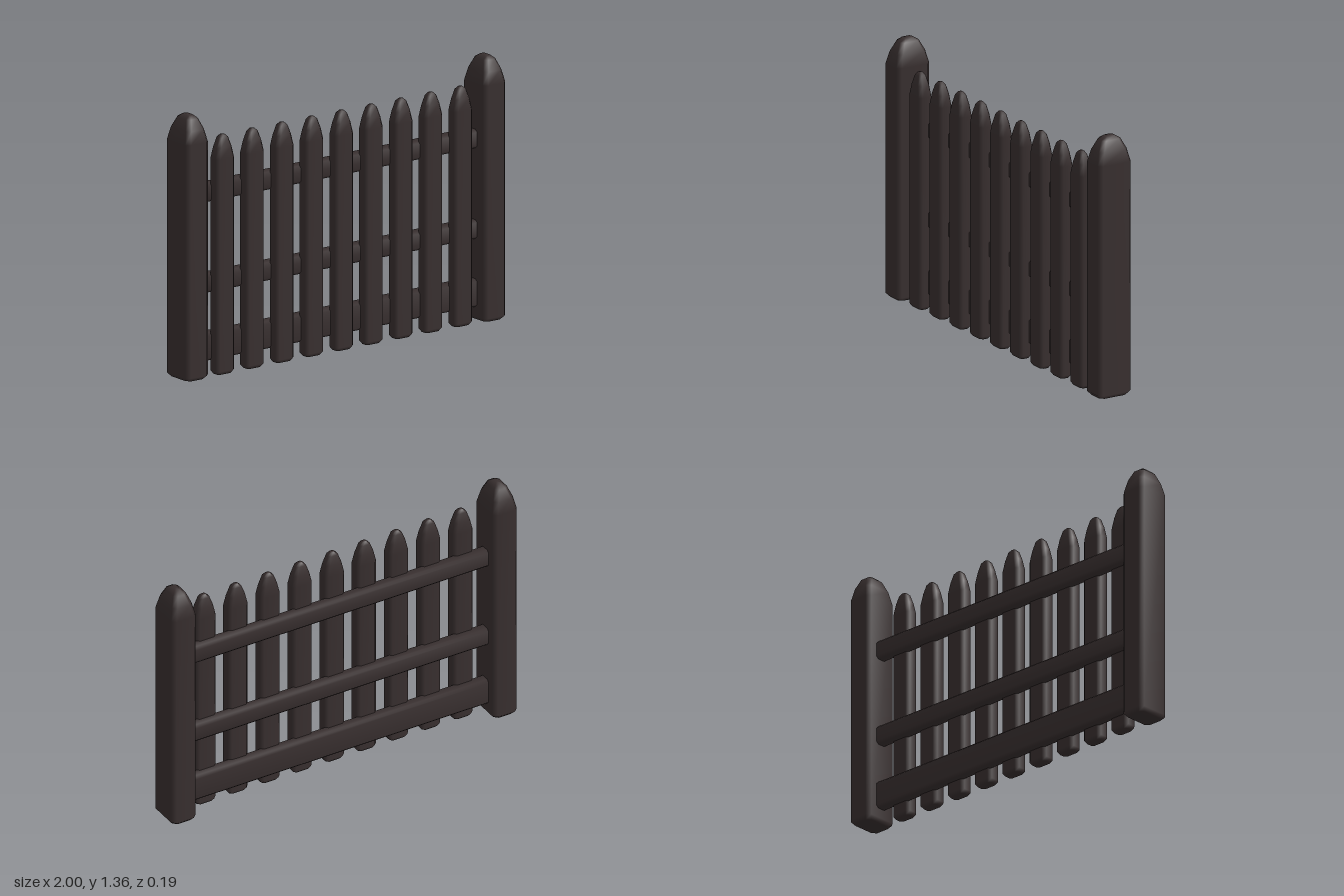
import * as THREE from 'three';

const wood = new THREE.MeshStandardMaterial({ color: 0x382f2f });
wood.name = 'darkWood';

// Loft of chamfered rectangles along y; levels are [y, halfWidth, halfDepth]
function loft(levels, chamfer) {
  const pos = [], index = [], n = 8, last = levels.length - 1;
  for (const [y, w, d] of levels) {
    const c = Math.min(chamfer, w * 0.5, d * 0.5);
    const ring = [
      [w, d - c], [w, c - d], [w - c, -d], [c - w, -d],
      [-w, c - d], [-w, d - c], [c - w, d], [w - c, d],
    ];
    for (const [x, z] of ring) pos.push(x, y, z);
  }
  const bottom = pos.length / 3, top = bottom + 1;
  pos.push(0, levels[0][0], 0, 0, levels[last][0], 0);
  for (let i = 0; i < n; i++) {
    const j = (i + 1) % n;
    for (let k = 0; k < last; k++) {
      const a = k * n + i, b = k * n + j;
      index.push(a, b, b + n, a, b + n, a + n);
    }
    index.push(bottom, j, i, top, last * n + i, last * n + j);
  }
  const g = new THREE.BufferGeometry();
  g.setAttribute('position', new THREE.Float32BufferAttribute(pos, 3));
  g.setIndex(index);
  g.computeVertexNormals();
  return g;
}

export function createModel() {
  const fence = new THREE.Group();
  fence.name = 'picketFence';
  const add = (name, geometry, x, y, z) => {
    const mesh = new THREE.Mesh(geometry, wood);
    mesh.name = name;
    mesh.position.set(x, y, z);
    fence.add(mesh);
  };

  // End posts with rounded points
  const post = loft([
    [0, 0.054, 0.078], [0.02, 0.07, 0.096], [1.22, 0.07, 0.096],
    [1.285, 0.056, 0.081], [1.338, 0.036, 0.055], [1.355, 0.017, 0.028],
  ], 0.02);
  add('rightPost', post, -0.93, 0, 0);
  add('leftPost', post, 0.93, 0, 0);

  // Nine pickets on the front of the rails
  const picket = loft([
    [0, 0.044, 0.026], [0.018, 0.057, 0.038], [1.11, 0.057, 0.038],
    [1.168, 0.045, 0.032], [1.215, 0.028, 0.021], [1.23, 0.012, 0.01],
  ], 0.016);
  for (let i = 0; i < 9; i++) add('picket' + (i + 1), picket, (i - 4) * 0.186, 0, 0.042);

  // Horizontal rails running between the posts
  const rail = (name, low, high) => {
    const h = (high - low) / 2, e = 0.01;
    const g = loft([
      [-0.875, h - e, 0.025], [-0.865, h, 0.035], [0.865, h, 0.035], [0.875, h - e, 0.025],
    ], 0.014);
    g.rotateZ(Math.PI / 2);
    add(name, g, 0, low + h, -0.005);
  };
  rail('bottomRail', 0.07, 0.213);
  rail('middleRail', 0.42, 0.517);
  rail('topRail', 0.887, 0.983);

  return fence;
}
